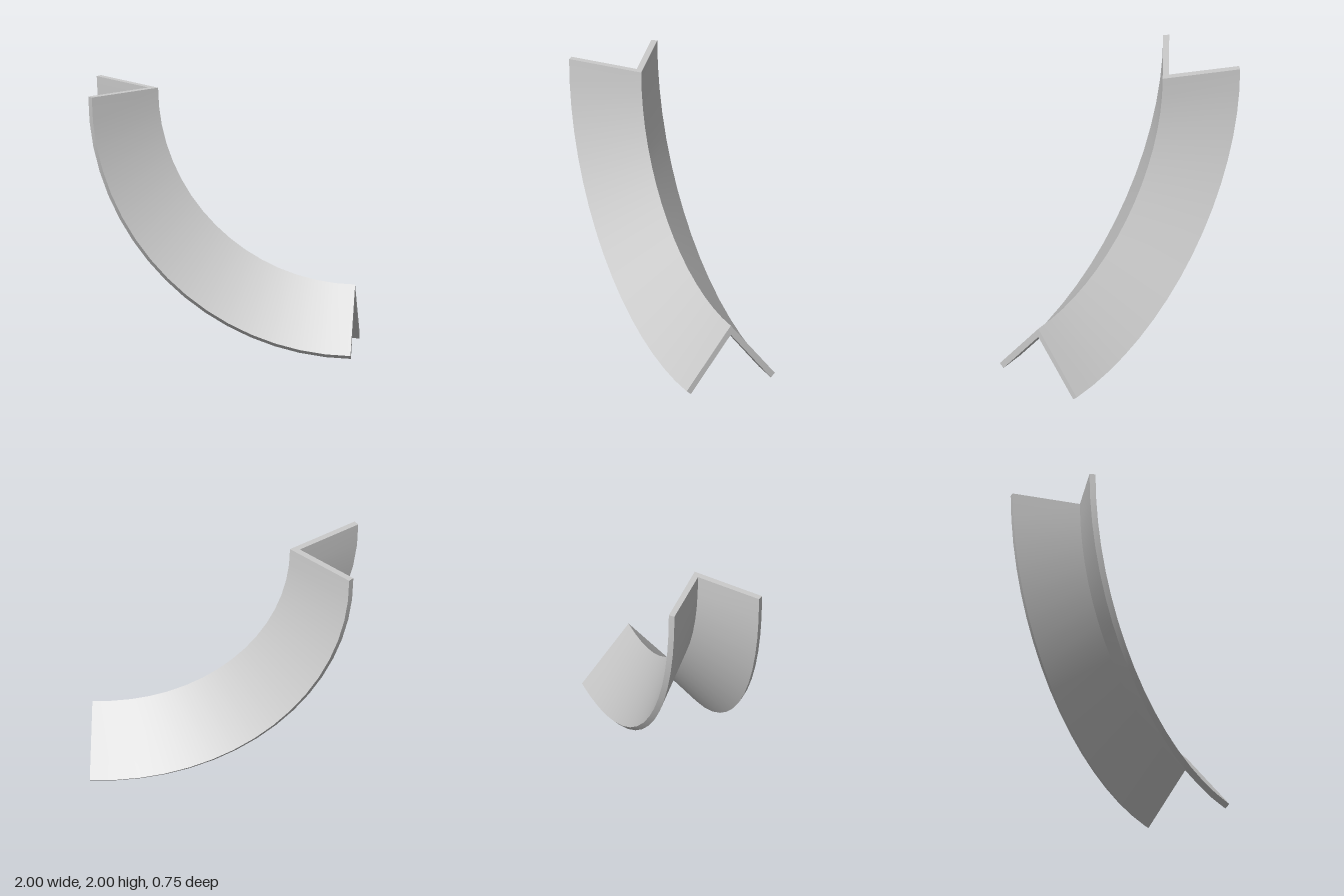
import * as THREE from 'three';
import { mergeGeometries, toCreasedNormals } from 'three/addons/utils/BufferGeometryUtils.js';

// V-shaped section as (radius, depth) pairs, counter-clockwise
const section = [
  [1.5, 0], [1.97, -0.375], [2, -0.34], [1.575, 0], [2, 0.34], [1.97, 0.375],
].map(([r, d]) => new THREE.Vector2(r, d));

export function createModel() {
  const group = new THREE.Group();
  const material = new THREE.MeshStandardMaterial({ color: 0xcccccc });

  // quarter-circle sweep of the section
  const sweep = new THREE.LatheGeometry([...section, section[0]], 16, -Math.PI / 2, Math.PI / 2);

  // flat caps at the two cut ends
  const startCap = new THREE.ShapeGeometry(new THREE.Shape(section)).rotateY(Math.PI);
  const mirrored = section.map((p) => new THREE.Vector2(-p.x, p.y));
  const endCap = new THREE.ShapeGeometry(new THREE.Shape(mirrored)).rotateY(Math.PI / 2);

  // turn the sweep axis from y to z and set the arc centre at the upper right
  const geometry = toCreasedNormals(mergeGeometries([sweep, startCap, endCap]), Math.PI / 6)
    .rotateX(Math.PI / 2)
    .translate(1, 2, 0);

  const mesh = new THREE.Mesh(geometry, material);
  mesh.name = 'curvedAngleBar';
  group.add(mesh);
  return group;
}
